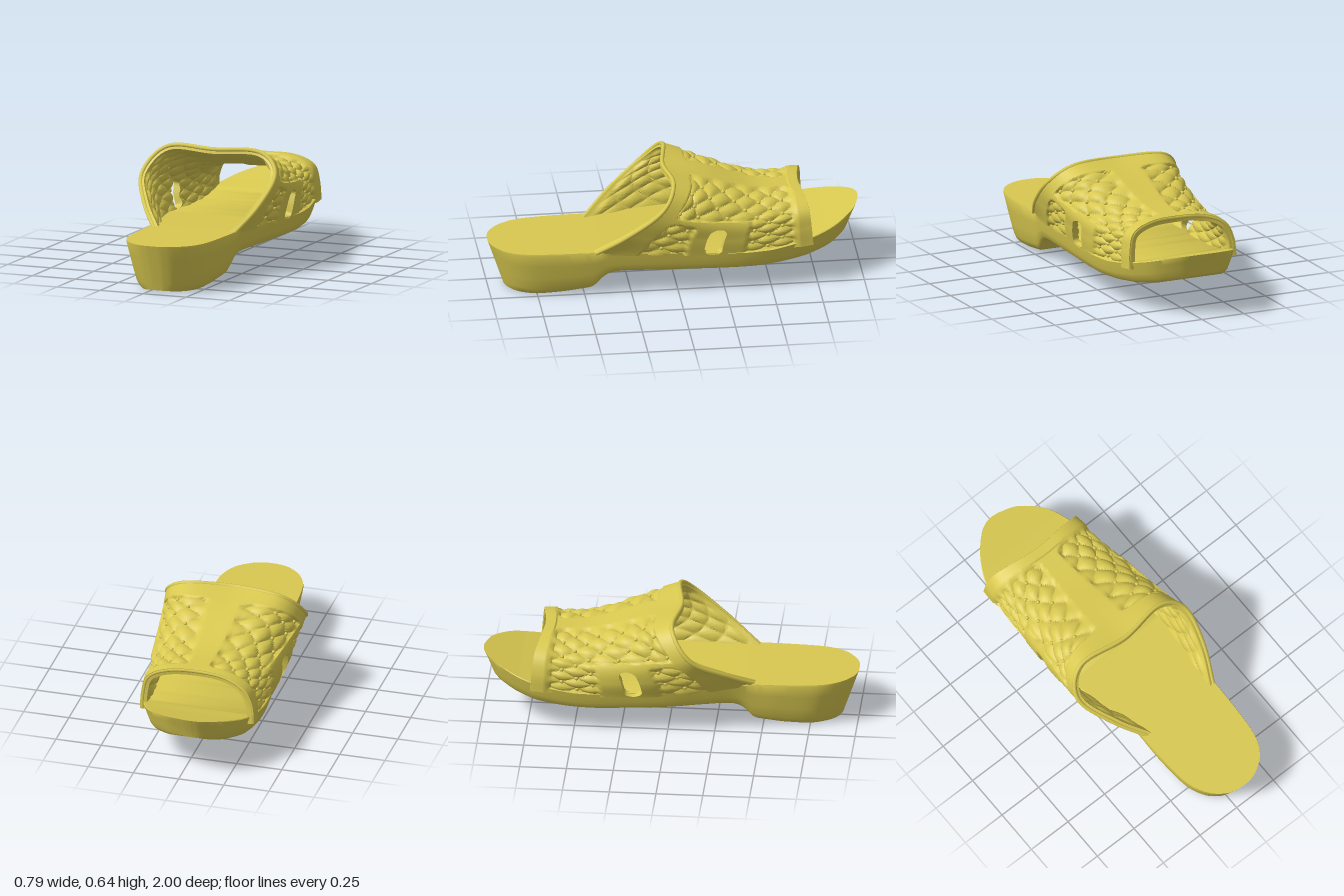
import * as THREE from 'three';
import { toCreasedNormals } from 'three/addons/utils/BufferGeometryUtils.js';

const V3 = (a) => new THREE.Vector3(...a);
const spline = (pts) => new THREE.CatmullRomCurve3(pts, false, 'catmullrom', 0.5);
const { lerp, smoothstep, clamp } = THREE.MathUtils;

// Piecewise-linear height along z; points run from heel (+z) to toe (-z)
const profile = (pts) => (z) => {
  if (z >= pts[0][0]) return pts[0][1];
  for (let i = 1; i < pts.length; i++) {
    const [z0, y0] = pts[i - 1], [z1, y1] = pts[i];
    if (z >= z1) return lerp(y0, y1, (z - z0) / (z1 - z0));
  }
  return pts[pts.length - 1][1];
};

function makeGeometry(positions, index, crease) {
  const g = new THREE.BufferGeometry();
  g.setAttribute('position', new THREE.Float32BufferAttribute(positions, 3));
  g.setIndex(index);
  return toCreasedNormals(g, crease);
}

// ---- Sole: cross-sections from heel to toe ----
function soleGeometry() {
  // each point is (left edge x, right edge x, z)
  const outline = spline([
    [0.05, 0.05, 1], [0, 0.1, 0.996], [-0.06, 0.16, 0.973], [-0.13, 0.235, 0.91], [-0.18, 0.28, 0.8],
    [-0.2, 0.295, 0.6], [-0.205, 0.3, 0.4], [-0.245, 0.31, 0.2], [-0.29, 0.32, 0], [-0.32, 0.33, -0.25],
    [-0.335, 0.325, -0.45], [-0.33, 0.3, -0.62], [-0.31, 0.265, -0.75], [-0.25, 0.2, -0.87],
    [-0.17, 0.09, -0.96], [-0.11, -0.01, -0.993], [-0.06, -0.06, -1],
  ].map(V3));
  const top = profile([[1, 0.26], [0.4, 0.26], [0, 0.25], [-0.35, 0.235], [-0.5, 0.24], [-0.65, 0.262],
    [-0.8, 0.3], [-0.9, 0.33], [-1, 0.36]]);
  const bottom = profile([[0.92, 0.008], [0.88, 0.002], [0.75, 0], [0.6, 0.012], [0.46, 0.032], [0.44, 0.045],
    [0.41, 0.085], [0.38, 0.112], [0.34, 0.127], [0.28, 0.131], [-0.1, 0.128], [-0.4, 0.128], [-0.55, 0.135],
    [-0.7, 0.153], [-0.82, 0.18], [-0.9, 0.208], [-0.96, 0.24]]);
  // [fraction of depth, extra inset]
  const layers = [[0, 0.006], [0.04, 0], [0.3, 0], [0.6, 0.001], [0.85, 0.004], [0.95, 0.014], [1, 0.03]];
  const N = 150, M = layers.length * 2, pos = [], idx = [];
  for (let s = 0; s <= N; s++) {
    const p = outline.getPoint(s / N), mid = (p.x + p.y) / 2, half = (p.y - p.x) / 2;
    const section = layers.map(([f, extra]) => {
      const z = p.z * (1 - (p.z > 0 ? 0.085 : 0.05) * f);
      const y = lerp(top(p.z), bottom(z), f);
      const inset = 0.19 * (top(p.z) - y) + extra;
      return [half * (1 - inset / 0.28), y, z];
    });
    section.forEach(([w, y, z]) => pos.push(mid - w, y, z));
    section.reverse().forEach(([w, y, z]) => pos.push(mid + w, y, z));
  }
  for (let s = 0; s < N; s++) for (let k = 0; k < M; k++) {
    const a = s * M + k, b = s * M + (k + 1) % M;
    idx.push(a, a + M, b, b, a + M, b + M);
  }
  return makeGeometry(pos, idx, 0.7);
}

// ---- Upper: four arched sections from rear rim to toe rim ----
const ARCHES = [
  [[-0.15, 0.25, 0.47], [-0.28, 0.36, 0.31], [-0.37, 0.48, 0.13], [-0.27, 0.605, 0.03], [0, 0.61, 0.06],
    [0.25, 0.61, 0.03], [0.365, 0.52, 0.1], [0.345, 0.38, 0.28], [0.27, 0.25, 0.46]],
  [[-0.29, 0.24, 0.08], [-0.345, 0.35, 0.04], [-0.355, 0.45, -0.04], [-0.25, 0.55, -0.14], [0, 0.56, -0.16],
    [0.25, 0.55, -0.14], [0.35, 0.45, -0.04], [0.34, 0.35, 0.04], [0.31, 0.24, 0.08]],
  [[-0.315, 0.22, -0.36], [-0.335, 0.31, -0.37], [-0.31, 0.4, -0.39], [-0.19, 0.47, -0.42], [0, 0.48, -0.43],
    [0.19, 0.47, -0.42], [0.3, 0.4, -0.39], [0.315, 0.31, -0.37], [0.305, 0.22, -0.36]],
  [[-0.315, 0.24, -0.73], [-0.305, 0.34, -0.72], [-0.26, 0.42, -0.71], [-0.15, 0.46, -0.685], [0, 0.465, -0.67],
    [0.14, 0.46, -0.685], [0.24, 0.42, -0.7], [0.265, 0.34, -0.71], [0.27, 0.24, -0.72]],
];
const columns = ARCHES[0].map((_, i) => spline(ARCHES.map((a) => V3(a[i]))));
const surface = (u, v) => spline(columns.map((c) => c.getPoint(v))).getPoint(u);
const normal = (u, v) => {
  const e = 0.004, u0 = clamp(u - e, 0, 1), u1 = clamp(u + e, 0, 1), v0 = clamp(v - e, 0, 1), v1 = clamp(v + e, 0, 1);
  const du = surface(u1, v).sub(surface(u0, v)), dv = surface(u, v1).sub(surface(u, v0));
  return du.cross(dv).normalize();
};

// Quilted windows between the smooth straps: [u min, u max, v min, v max], mirrored about the middle
const WINDOWS = [[0.25, 0.457, 0.2, 0.91], [-0.1, 0.4, 0.66, 0.91], [-0.1, 0.22, 0.22, 0.42]];
function quiltAmount(u, v) {
  const m = Math.min(u, 1 - u), r = 0.035;
  const d = Math.min(...WINDOWS.map(([a, b, c, e]) => {
    const x = Math.abs(m - (a + b) / 2) - (b - a) / 2 + r, y = Math.abs(v - (c + e) / 2) - (e - c) / 2 + r;
    return Math.hypot(Math.max(x, 0), Math.max(y, 0)) + Math.min(Math.max(x, y), 0) - r;
  }));
  return 1 - smoothstep(d, -0.008, 0.004);
}
const QU = 11, QV = 6.5;
const pillow = (u, v) => {
  const a = (u - 0.5) * QU, b = v * QV;
  return Math.sqrt(Math.abs(Math.sin(Math.PI * (a + b)) * Math.sin(Math.PI * (a - b))));
};
const outerHeight = (u, v) =>
  lerp(0.017 + (v > 0.92 ? 0.007 : 0), -0.006 + 0.02 * pillow(u, v), quiltAmount(u, v));

// Side slot: vertices inside it are pushed out to its rounded edge
const SLOT = { v: 0.525, r: 0.036, u0: 0.045, u1: 0.17 };
function snapToSlot(u, v) {
  const m = Math.min(u, 1 - u), c = clamp(m, SLOT.u0, SLOT.u1);
  const dx = m - c, dy = v - SLOT.v || 1e-5, d = Math.hypot(dx, dy);
  if (d >= SLOT.r) return { u, v, inside: false };
  const mu = c + dx * SLOT.r / d;
  return { u: u < 0.5 ? mu : 1 - mu, v: SLOT.v + dy * SLOT.r / d, inside: true };
}

function upperGeometry() {
  const NU = 150, NV = 100, W = NU + 1, count = W * (NV + 1), outer = [], inner = [], inside = [], idx = [];
  for (let j = 0; j <= NV; j++) for (let i = 0; i <= NU; i++) {
    const { u, v, inside: hit } = snapToSlot(i / NU, j / NV);
    const p = surface(u, v), n = normal(u, v), edge = smoothstep(Math.min(v, 1 - v), 0.02, 0.07);
    outer.push(...p.clone().addScaledVector(n, outerHeight(u, v)).toArray());
    inner.push(...p.addScaledVector(n, -0.012 - 0.014 * edge * pillow(u, v)).toArray());
    inside.push(hit);
  }
  const edges = new Map();
  for (let j = 0; j < NV; j++) for (let i = 0; i < NU; i++) {
    const a = j * W + i, ring = [a, a + 1, a + W + 1, a + W];
    if (ring.every((k) => inside[k])) continue;
    const [p, q, r, s] = ring;
    idx.push(p, q, r, p, r, s, p + count, r + count, q + count, p + count, s + count, r + count);
    ring.forEach((k, n) => edges.set(k + '_' + ring[(n + 1) % 4], [k, ring[(n + 1) % 4]]));
  }
  // walls close the rims and the slots
  for (const [a, b] of edges.values()) {
    if (!edges.has(b + '_' + a)) idx.push(a, a + count, b, b, a + count, b + count);
  }
  return makeGeometry(outer.concat(inner), idx, 0.75);
}

export function createModel() {
  const group = new THREE.Group();
  const material = new THREE.MeshStandardMaterial({ color: 0xd8c850 });
  const add = (name, geometry, parent = group) => {
    const mesh = new THREE.Mesh(geometry, material);
    mesh.name = name;
    parent.add(mesh);
    return mesh;
  };
  add('sole', soleGeometry());
  add('quiltedUpper', upperGeometry());

  // Rolled piping along the rear and toe openings
  for (const [name, v, r] of [['rearPiping', 0.008, 0.012], ['toePiping', 0.992, 0.011]]) {
    const pts = Array.from({ length: 33 }, (_, i) =>
      surface(i / 32, v).addScaledVector(normal(i / 32, v), 0.012));
    add(name, new THREE.TubeGeometry(new THREE.CatmullRomCurve3(pts), 80, r, 8));
  }

  // Small studs where the quilting lines cross
  const studs = new THREE.Group();
  studs.name = 'quiltStuds';
  group.add(studs);
  const stud = new THREE.SphereGeometry(0.011, 10, 6);
  for (let i = -QU; i <= QU; i++) for (let j = 0; j <= 2 * QV; j++) {
    const u = 0.5 + i / 2 / QU, v = j / 2 / QV;
    if ((i + j) % 2 || u < 0.03 || u > 0.97 || quiltAmount(u, v) < 0.9) continue;
    add('stud', stud, studs).position.copy(surface(u, v).addScaledVector(normal(u, v), -0.002));
  }
  return group;
}
